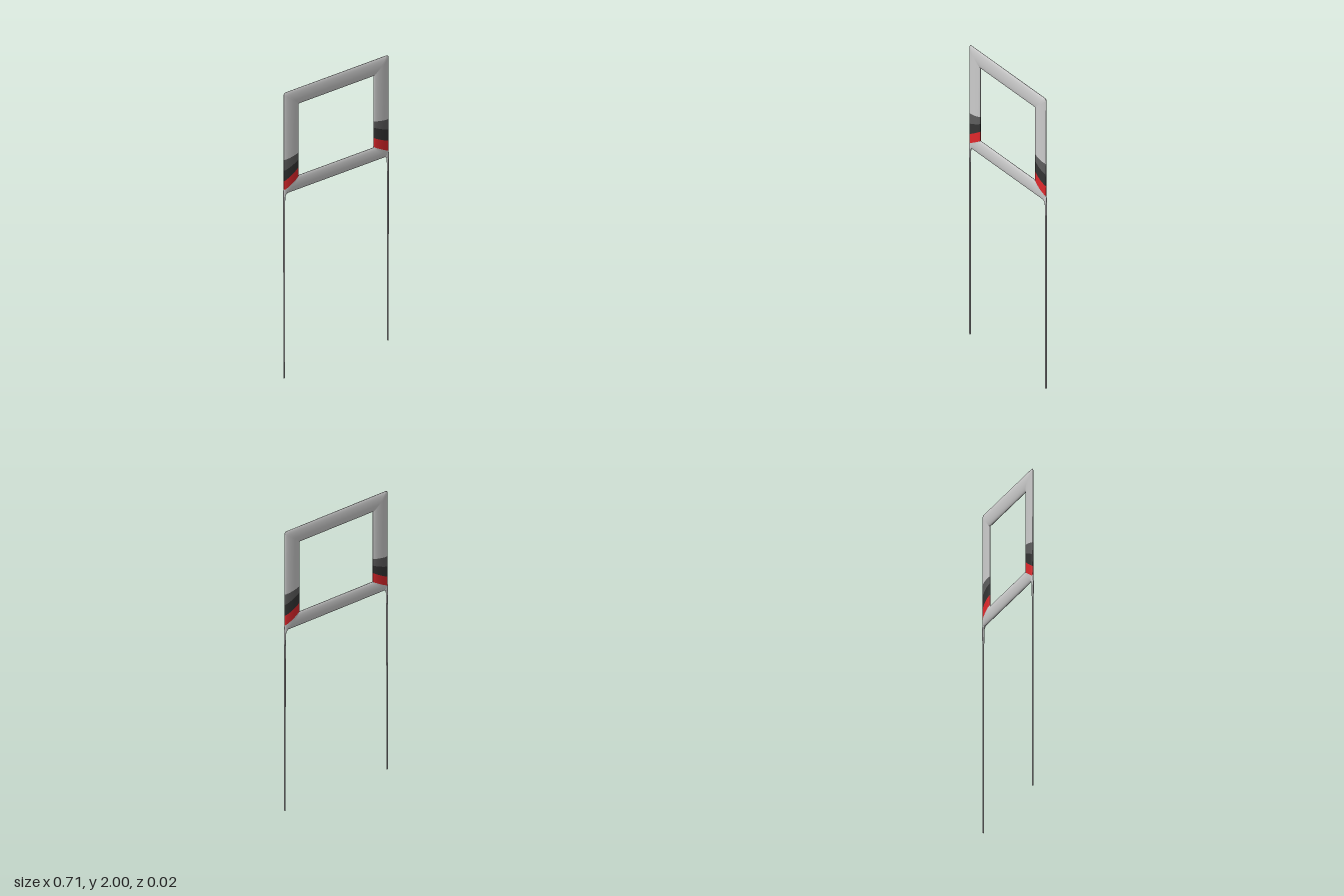
import * as THREE from 'three';

const SIDES = 24;
const HALF = 0.0115; // half thickness of the frame
const IN = 0.252, OUT = 0.354; // inner and outer half widths of the frame
const GREY = 0xcccccc;

// Loft of elliptical sections; each station is [innerX, innerY, outerX, outerY, halfThickness].
function loft(stations) {
  const pos = [], index = [];
  for (const [ax, ay, bx, by, h = HALF] of stations) {
    for (let j = 0; j < SIDES; j++) {
      const t = (j / SIDES) * Math.PI * 2, k = (1 + Math.cos(t)) / 2;
      pos.push(ax + (bx - ax) * k, ay + (by - ay) * k, Math.sin(t) * h);
    }
  }
  for (let i = 0; i < stations.length - 1; i++) {
    for (let j = 0; j < SIDES; j++) {
      const n = (j + 1) % SIDES;
      const a = i * SIDES + j, b = i * SIDES + n;
      index.push(a, b, b + SIDES, a, b + SIDES, a + SIDES);
    }
  }
  const g = new THREE.BufferGeometry();
  g.setAttribute('position', new THREE.Float32BufferAttribute(pos, 3));
  g.setIndex(index);
  g.computeVertexNormals();
  return g;
}

export function createModel() {
  const model = new THREE.Group();
  model.name = 'framedHandle';
  const materials = {};
  const add = (name, stations, color = GREY) => {
    materials[color] ??= new THREE.MeshStandardMaterial({ color });
    const mesh = new THREE.Mesh(loft(stations), materials[color]);
    mesh.name = name;
    model.add(mesh);
  };

  // Slanted cuts between the colours of each upright: [inner y, outer y], bottom to top
  const cuts = {
    left: [[1.394, 1.33], [1.457, 1.4], [1.53, 1.478], [1.574, 1.553]],
    right: [[1.388, 1.32], [1.452, 1.383], [1.505, 1.457], [1.553, 1.532]],
  };
  const bands = [['redBand', 0xe0282c], ['blackBand', 0x343434], ['darkGreyBand', 0x5e5e5e]];

  for (const [side, s] of [['left', 1], ['right', -1]]) {
    // Stations of the -x side run upwards, those of the +x side downwards
    const order = (list) => (s < 0 ? list : [...list].reverse());
    const cut = ([yi, yo]) => [s * IN, yi, s * OUT, yo];
    const c = cuts[side];

    // Coloured bands, then the plain upright up to the mitre
    bands.forEach(([name, color], i) => add(side + name[0].toUpperCase() + name.slice(1),
      order([cut(c[i]), cut(c[i + 1])]), color));
    add(side + 'Upright', order([cut(c[3]), [s * IN, 1.89, s * OUT, 1.988]]));

    // Rounded outer corner at the top
    add(side + 'TopCorner', order([
      [s * IN, 1.89, s * OUT, 1.988],
      [s * IN, 1.89, s * (OUT - 0.0035), 1.9965],
      [s * IN, 1.89, s * (OUT - 0.012), 2],
    ]));

    // Long thin leg, flaring into the frame at its top
    add(side + 'Leg', order([
      [s * 0.35, 0, s * 0.351, 0, 0.0003],
      [s * 0.347, 0.001, s * 0.355, 0.001, 0.003],
      [s * 0.346, 0.005, s * 0.356, 0.005, 0.004],
      [s * 0.346, 0.73, s * 0.356, 0.73, 0.004],
      [s * 0.345, 1.18, s * 0.356, 1.18, 0.0045],
      [s * 0.345, 1.2, s * 0.356, 1.2, 0.006],
      [s * 0.344, 1.265, s * 0.356, 1.265, 0.0065],
      [s * 0.342, 1.28, s * 0.356, 1.28, 0.007],
      [s * 0.337, 1.288, s * 0.356, 1.288, 0.0075],
      [s * 0.328, 1.294, s * 0.356, 1.298, 0.008],
      [s * 0.328, 1.304, s * 0.356, 1.318, 0.0075],
      [s * 0.335, 1.32, s * 0.354, 1.33, 0.004],
      [s * 0.344, 1.33, s * 0.345, 1.331, 0.0003],
    ]));
  }

  // Top bar
  add('topBar', [
    [-IN, 1.89, -OUT + 0.012, 2],
    [IN, 1.89, OUT - 0.012, 2],
  ]);

  // Bottom bar, with its lower corners rounded into the legs
  const corner = (s, [yi, yo]) => [
    [s * IN, yi, s * OUT, yo],
    [s * IN, yi, s * OUT, 1.3],
    [s * IN, yi, s * (OUT - 0.01), 1.292],
    [s * IN, 1.388, s * 0.325, 1.292],
  ];
  add('bottomBar', [...corner(1, cuts.left[0]), ...corner(-1, cuts.right[0]).reverse()]);

  return model;
}
